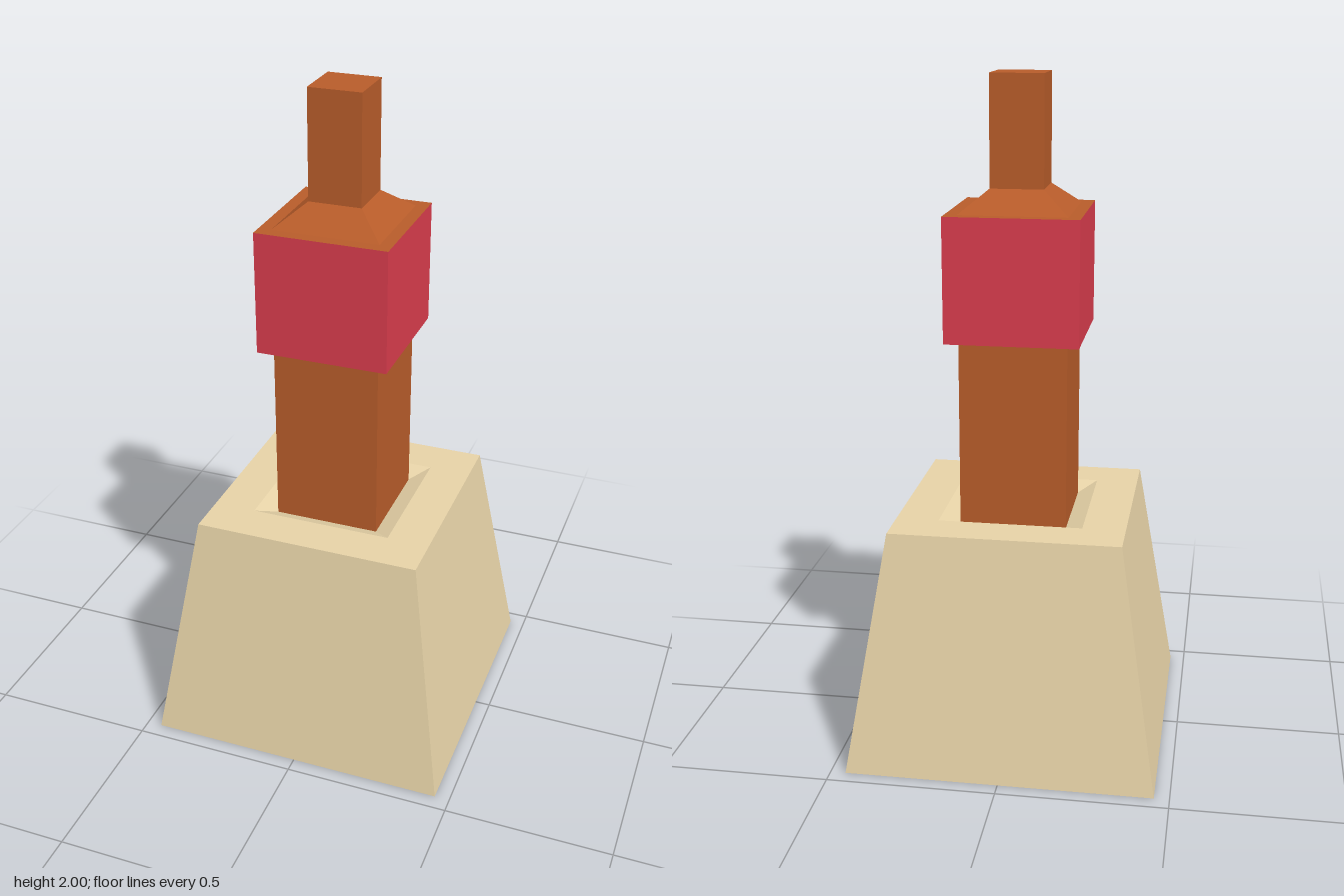
import * as THREE from 'three';

const tan = new THREE.MeshStandardMaterial({ color: 0xe6d2a7, flatShading: true });
const brown = new THREE.MeshStandardMaterial({ color: 0xb85c2a, flatShading: true });
const red = new THREE.MeshStandardMaterial({ color: 0xd93c4d, flatShading: true });

// Sweeps a [half width, height] profile around a square plan, with hard edges.
function squareLoft(name, profile, material) {
  const points = profile.map(([half, y]) => new THREE.Vector2(half * Math.SQRT2, y));
  const geometry = new THREE.LatheGeometry(points, 4, Math.PI / 4).toNonIndexed();
  geometry.computeVertexNormals();
  const mesh = new THREE.Mesh(geometry, material);
  mesh.name = name;
  return mesh;
}

export function createModel() {
  const model = new THREE.Group();
  model.name = 'squarePost';

  // Tapered plinth with a shallow sloped recess around the pillar
  model.add(squareLoft('plinth', [
    [0, 0], [0.455, 0], [0.34, 0.72], [0.213, 0.72], [0.158, 0.695],
  ], tan));

  // Pillar, flaring into the underside of the collar
  model.add(squareLoft('pillar', [
    [0.158, 0.695], [0.158, 1.25], [0.195, 1.25],
  ], brown));

  // Painted collar band
  model.add(squareLoft('collarBand', [[0.195, 1.25], [0.195, 1.615]], red));

  // Collar top, sloped shoulder and slim finial
  model.add(squareLoft('crown', [
    [0.195, 1.615], [0.158, 1.615], [0.078, 1.68], [0.078, 2], [0, 2],
  ], brown));

  return model;
}
